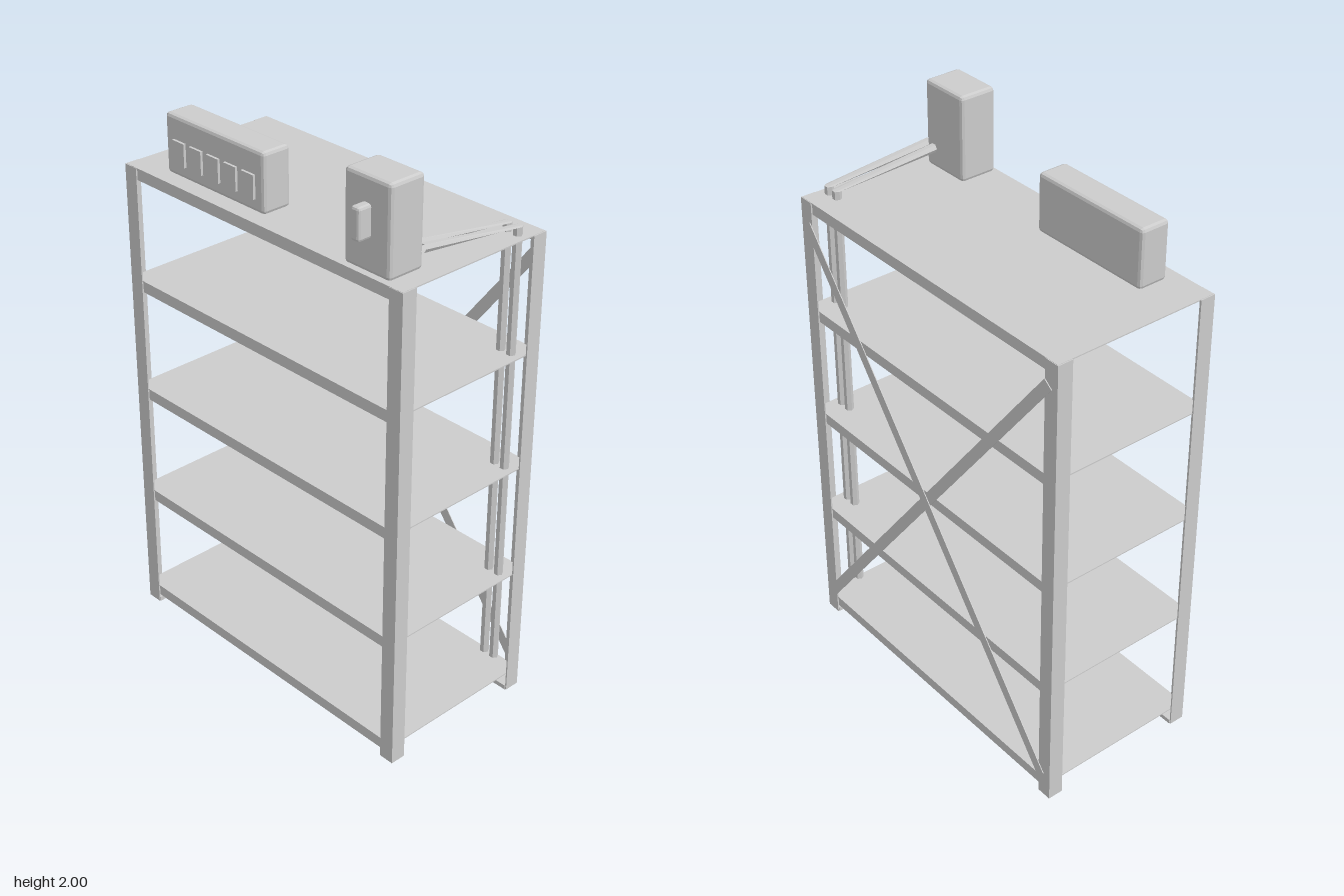
import * as THREE from 'three';
import { RoundedBoxGeometry } from 'three/addons/geometries/RoundedBoxGeometry.js';

const material = new THREE.MeshStandardMaterial({ color: 0xcccccc, flatShading: true, side: THREE.DoubleSide });

// Mesh from a geometry, centred at x, y, z
function part(parent, name, geometry, x, y, z) {
  const mesh = new THREE.Mesh(geometry, material);
  mesh.name = name;
  mesh.position.set(x, y, z);
  parent.add(mesh);
  return mesh;
}

// Box given by its ranges; a bevel above 0 chamfers the edges
function block(parent, name, [x0, x1], [y0, y1], [z0, z1], bevel = 0) {
  const size = [x1 - x0, y1 - y0, z1 - z0];
  const geometry = bevel ? new RoundedBoxGeometry(...size, 1, bevel) : new THREE.BoxGeometry(...size);
  return part(parent, name, geometry, (x0 + x1) / 2, (y0 + y1) / 2, (z0 + z1) / 2);
}

// Six-sided cable: each ring has a centre and the direction of its second axis
function cableGeometry(rings, radius) {
  const sides = 6, positions = [], index = [];
  rings.forEach(({ center, axis }, i) => {
    for (let j = 0; j < sides; j++) {
      const a = (j / sides) * Math.PI * 2;
      const p = center.clone().addScaledVector(axis, radius * Math.sin(a));
      positions.push(p.x + radius * Math.cos(a), p.y, p.z);
      if (i === rings.length - 1) continue;
      const k = i * sides + j, n = i * sides + ((j + 1) % sides);
      index.push(k, k + sides, n, n, k + sides, n + sides);
    }
  });
  const geometry = new THREE.BufferGeometry();
  geometry.setAttribute('position', new THREE.Float32BufferAttribute(positions, 3));
  geometry.setIndex(index);
  geometry.computeVertexNormals();
  return geometry;
}

export function createModel() {
  const model = new THREE.Group();
  model.name = 'shelvingUnit';

  const midZ = -0.0135, halfX = 0.628, halfZ = 0.301, height = 1.7;
  const angle = 0.055, sheet = 0.005;

  // Corner posts of angle section, each on a small foot
  const posts = new THREE.Group();
  posts.name = 'posts';
  model.add(posts);
  const profile = new THREE.Shape([
    [0, 0], [angle, 0], [angle, sheet], [sheet, sheet], [sheet, angle], [0, angle],
  ].map(([x, y]) => new THREE.Vector2(x, y)));
  const corners = [[1, 1, Math.PI], [-1, 1, Math.PI / 2], [-1, -1, 0], [1, -1, -Math.PI / 2]];
  for (const [sx, sz, turn] of corners) {
    const geometry = new THREE.ExtrudeGeometry(profile, { depth: height, bevelEnabled: false });
    geometry.rotateX(Math.PI / 2).translate(0, height, 0).rotateY(turn);
    part(posts, 'post', geometry, sx * halfX, 0, midZ + sz * halfZ);
    part(posts, 'foot', new THREE.BoxGeometry(0.054, 0.016, 0.054),
      sx * (halfX - 0.031), 0.008, midZ + sz * (halfZ - 0.031));
  }

  // Shelves: thin sheets with a turned-down lip at front and back
  const shelves = new THREE.Group();
  shelves.name = 'shelves';
  model.add(shelves);
  for (const top of [0.07, 0.48, 0.89, 1.3, 1.701]) {
    part(shelves, 'shelfSheet', new THREE.BoxGeometry(1.248, 0.004, 0.598), 0, top - 0.002, midZ);
    for (const s of [-1, 1]) {
      part(shelves, 'shelfLip', new THREE.BoxGeometry(1.24, 0.043, 0.004), 0, top - 0.0215, midZ + s * 0.294);
    }
  }

  // Crossed flat braces on the back
  for (const s of [-1, 1]) {
    const brace = part(model, 'crossBrace', new THREE.BoxGeometry(1.932, 0.039, 0.003), 0, 0.857, -0.3195 - s * 0.0025);
    brace.rotation.z = s * Math.atan2(0.792, 0.611);
  }

  // Low control unit with five raised tabs
  const unit = new THREE.Group();
  unit.name = 'controlUnit';
  model.add(unit);
  block(unit, 'unitCase', [-0.48, -0.017], [1.702, 1.905], [0.125, 0.232], 0.012);
  for (let i = 0; i < 5; i++) {
    const x = -0.248 + (i - 2) * 0.082;
    block(unit, 'unitTab', [x - 0.028, x + 0.028], [1.745, 1.825], [0.225, 0.241]);
  }

  // Tall switch box with a handle
  const switchBox = new THREE.Group();
  switchBox.name = 'switchBox';
  model.add(switchBox);
  block(switchBox, 'switchCase', [0.372, 0.559], [1.702, 2], [0.138, 0.272], 0.012);
  block(switchBox, 'switchHandle', [0.446, 0.482], [1.812, 1.918], [0.26, 0.32], 0.009);

  // Two cables running back from the switch box, then down
  const up = new THREE.Vector3(0, 1, 0), back = new THREE.Vector3(0, 0, -1);
  for (const [startX, endX] of [[0.52, 0.546], [0.563, 0.588]]) {
    part(model, 'cable', cableGeometry([
      { center: new THREE.Vector3(startX, 1.772, 0.148), axis: up },
      { center: new THREE.Vector3(endX, 1.73, -0.231), axis: back },
      { center: new THREE.Vector3(endX, 0.14, -0.231), axis: back },
    ], 0.0155), 0, 0, 0);
  }

  return model;
}
